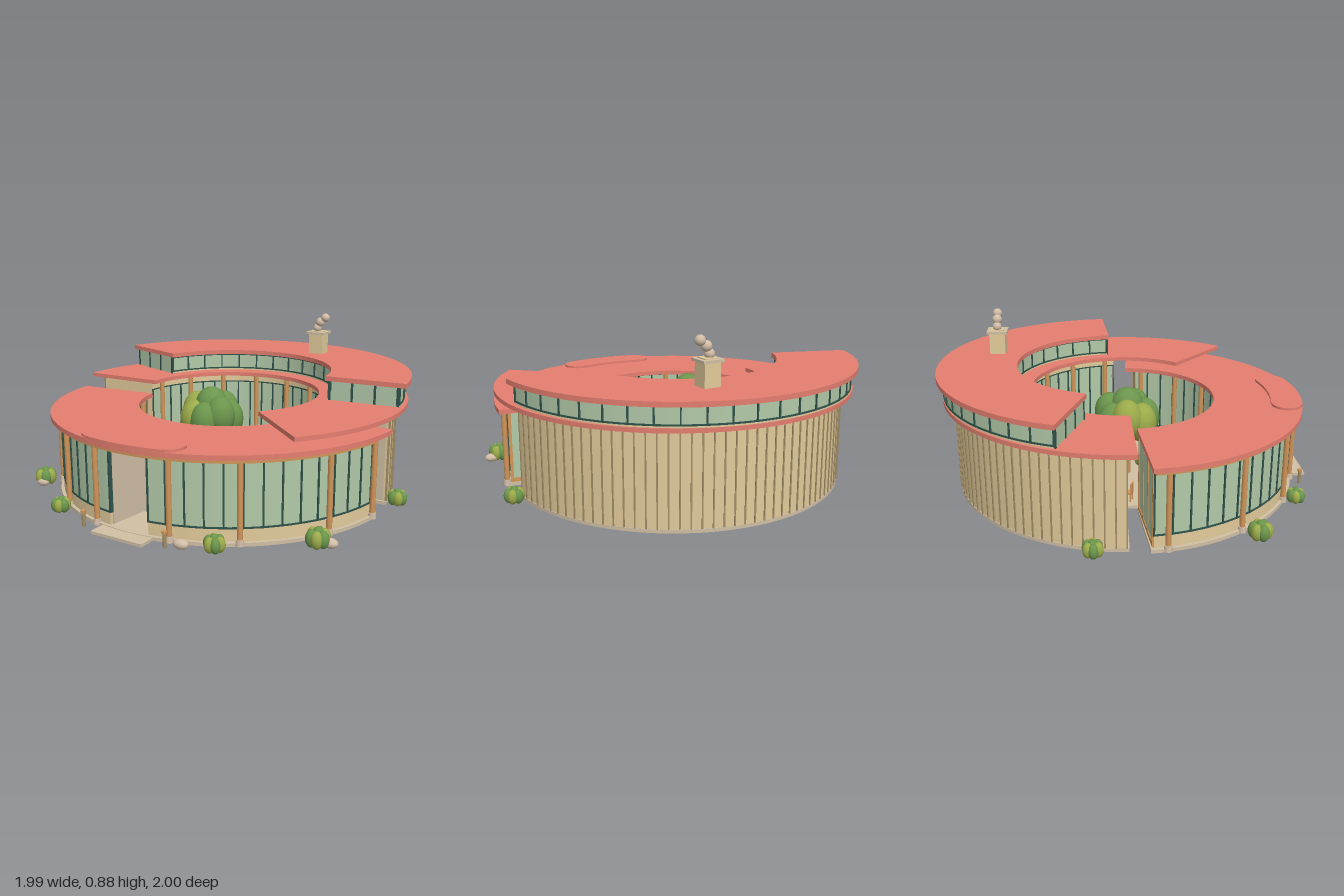
import * as THREE from 'three';

const mat = (name, color) => {
  const m = new THREE.MeshStandardMaterial({ color });
  m.name = name;
  return m;
};

export function createModel() {
  const roofRed = mat('roof red', 0xe47e6f);
  const glass = mat('pale green glass', 0xb2c9a8);
  const frame = mat('dark green frame', 0x2f524a);
  const wood = mat('warm wood', 0xd0965a);
  const board = mat('beige boards', 0xe2cb9b);
  const batten = mat('tan batten', 0xa48f66);
  const paving = mat('paving', 0xd0bfa4);
  const stone = mat('pale stone', 0xd2bda6);
  const leaf = mat('leaf green', 0x6b964c);
  const leafLight = mat('olive leaf', 0x9cab4a);

  const model = new THREE.Group();
  model.name = 'ringHouse';
  const house = new THREE.Group();
  house.name = 'house';
  house.position.set(-0.01, 0, -0.005);
  model.add(house);

  const rad = THREE.MathUtils.degToRad;
  const add = (parent, name, geo, material, x = 0, y = 0, z = 0) => {
    const m = new THREE.Mesh(geo, material);
    m.name = name;
    m.position.set(x, y, z);
    parent.add(m);
    return m;
  };
  // Angles are in degrees, from the front (+z) towards +x
  const polar = (a, r) => [r * Math.sin(rad(a)), r * Math.cos(rad(a))];

  // Curved slab between two radii, two heights and two angles
  const arc = (name, material, r0, r1, y0, y1, a0, a1, parent = house) => {
    const n = Math.max(1, Math.ceil((a1 - a0) / 2.5));
    const outer = [], inner = [];
    for (let i = 0; i <= n; i++) {
      const a = a0 + ((a1 - a0) * i) / n;
      const [ox, oz] = polar(a, r1), [ix, iz] = polar(a, r0);
      outer.push(new THREE.Vector2(ox, -oz));
      inner.unshift(new THREE.Vector2(ix, -iz));
    }
    const geo = new THREE.ExtrudeGeometry(new THREE.Shape([...outer, ...inner]), { depth: y1 - y0, bevelEnabled: false });
    return add(parent, name, geo.rotateX(-Math.PI / 2), material, 0, y0, 0);
  };
  // Upright strip standing on the ring
  const upright = (name, material, a, r, y0, y1, w, d, parent = house) => {
    const [x, z] = polar(a, r);
    add(parent, name, new THREE.BoxGeometry(w, y1 - y0, d), material, x, (y0 + y1) / 2, z).rotation.y = rad(a);
  };
  // Glazed curved wall with sill, rails and mullions
  const glazing = (name, r, y0, y1, a0, a1, sill, step, parent = house) => {
    const g = new THREE.Group();
    g.name = name;
    parent.add(g);
    arc('sill', board, r - 0.008, r + 0.008, y0, y0 + sill, a0, a1, g);
    const b = y0 + sill;
    arc('panes', glass, r - 0.004, r + 0.004, b, y1, a0, a1, g);
    arc('lowerRail', frame, r - 0.009, r + 0.009, b, b + 0.008, a0, a1, g);
    arc('upperRail', frame, r - 0.009, r + 0.009, y1 - 0.008, y1, a0, a1, g);
    const n = Math.round((a1 - a0) / step);
    for (let i = 0; i <= n; i++) upright('mullion', frame, a0 + ((a1 - a0) * i) / n, r, b, y1, 0.008, 0.02, g);
  };
  const post = (a, r, top) => {
    const [x, z] = polar(a, r);
    add(house, 'post', new THREE.CylinderGeometry(0.014, 0.014, top - 0.02, 10), wood, x, top / 2 + 0.01, z);
    add(house, 'postFoot', new THREE.CylinderGeometry(0.018, 0.021, 0.03, 10), stone, x, 0.02, z);
  };

  // Floors: courtyard disc, glazed wing and boarded wing
  add(house, 'courtyard', new THREE.CylinderGeometry(0.5, 0.5, 0.016, 96), paving, 0, 0.012, 0);
  arc('frontFloor', paving, 0.5, 0.93, 0, 0.018, -85, 81);
  arc('backFloor', paving, 0.5, 0.908, 0, 0.018, 93, 269);
  add(model, 'doorStep', new THREE.BoxGeometry(0.295, 0.015, 0.1), paving, -0.012, 0.0075, 0.95);

  // Front glazed wing, split by the entrance passage
  for (const [a0, a1] of [[-84, -7], [7, 80]]) {
    glazing('outerGlazing', 0.905, 0.018, 0.395, a0, a1, 0.06, 5.5);
    glazing('innerGlazing', 0.54, 0.018, 0.415, a0, a1, 0.04, 9);
  }
  for (const a of [-7, 7]) upright('passageWall', paving, a, 0.72, 0.018, 0.415, 0.012, 0.35);
  for (const a of [-84, 80]) {
    upright('endGlass', glass, a, 0.72, 0.018, 0.415, 0.008, 0.37);
    upright('endSill', wood, a, 0.72, 0.018, 0.04, 0.016, 0.37);
    for (const r of [0.54, 0.66, 0.78, 0.9]) upright('endFrame', wood, a, r, 0.018, 0.415, 0.016, 0.016);
  }
  arc('eavesBeam', wood, 0.895, 0.94, 0.395, 0.416, -84, 80);
  for (const a of [-80, -55, -30, -12, 14, 34, 61, 80]) post(a, 0.926, 0.4);
  for (const a of [-75, -50, -25, 25, 50, 75]) post(a, 0.515, 0.415);

  // Back wing: boarded outside, glazed to the courtyard
  arc('backWall', board, 0.89, 0.905, 0.018, 0.488, 93.8, 268.5);
  for (let i = 0; i <= 54; i++) upright('wallBatten', batten, 94 + (i * 174.3) / 54, 0.905, 0.018, 0.488, 0.007, 0.01);
  glazing('courtyardGlazing', 0.545, 0.018, 0.45, 94, 268, 0.04, 8);
  arc('glazingHead', board, 0.535, 0.555, 0.45, 0.488, 94, 268);
  upright('eastEndWall', paving, 94.2, 0.72, 0.018, 0.488, 0.012, 0.36);
  upright('westEndWall', board, 268, 0.72, 0.018, 0.488, 0.012, 0.36);
  for (let a = 100; a < 268; a += 23) post(a, 0.52, 0.488);

  // Stepped roofs
  arc('lowRoof', roofRed, 0.495, 0.965, 0.416, 0.44, -85, 86);
  arc('middleRoof', roofRed, 0.495, 0.965, 0.488, 0.51, 48, 271);
  const upper = new THREE.Group();
  upper.name = 'upperStorey';
  upper.position.z = -0.025;
  house.add(upper);
  arc('highRoof', roofRed, 0.546, 0.97, 0.61, 0.635, 94, 251, upper);
  glazing('outerClerestory', 0.93, 0.51, 0.61, 95, 250, 0.008, 7, upper);
  glazing('innerClerestory', 0.57, 0.51, 0.61, 95, 250, 0.008, 11, upper);
  for (const a of [95, 250]) {
    upright('clerestoryEnd', glass, a, 0.75, 0.51, 0.61, 0.008, 0.36, upper);
    for (const r of [0.57, 0.69, 0.81, 0.93]) upright('clerestoryEndMullion', frame, a, r, 0.51, 0.61, 0.014, 0.012, upper);
  }

  // Entrance canopy with rounded corners
  arc('entranceCanopy', roofRed, 0.8, 0.966, 0.44, 0.453, -13.5, 13.5);
  for (const a of [-13.5, 13.5]) {
    const [x, z] = polar(a, 0.882);
    add(house, 'canopyEnd', new THREE.CylinderGeometry(0.078, 0.078, 0.0125, 32), roofRed, x, 0.4463, z);
  }

  // Chimney and smoke
  add(model, 'chimney', new THREE.BoxGeometry(0.086, 0.14, 0.086), board, 0.208, 0.69, -0.7);
  add(model, 'chimneyCap', new THREE.BoxGeometry(0.112, 0.014, 0.112), paving, 0.208, 0.758, -0.7);
  add(model, 'chimneyFlue', new THREE.BoxGeometry(0.07, 0.006, 0.07), board, 0.208, 0.767, -0.7);
  for (const [x, y, r] of [[0.2, 0.785, 0.025], [0.217, 0.822, 0.027], [0.25, 0.85, 0.026]])
    add(model, 'smokePuff', new THREE.SphereGeometry(r, 16, 12), stone, x, y, -0.7);

  // Courtyard tree: forked trunk and lobed crown
  const blob = (parent, name, m, x, y, z, sx, sy, sz) =>
    add(parent, name, new THREE.SphereGeometry(1, 14, 10), m, x, y, z).scale.set(sx, sy, sz);
  const tree = new THREE.Group();
  tree.name = 'tree';
  tree.position.set(-0.115, 0.02, 0.01);
  model.add(tree);
  const limb = (...pts) => add(tree, 'trunk', new THREE.TubeGeometry(
    new THREE.CatmullRomCurve3(pts.map(p => new THREE.Vector3(...p))), 8, 0.011, 7), wood);
  for (let i = 0; i < 3; i++) {
    const [x, z] = polar(i * 120 + 20, 0.07);
    limb([x * 0.15, 0, z * 0.15], [x * 0.2, 0.1, z * 0.2], [x, 0.27, z]);
  }
  for (let i = 0; i < 7; i++) {
    const [x, z] = polar(i * 51.4 + 10, 0.097);
    blob(tree, 'crownLobe', i > 4 ? leafLight : leaf, x, 0.325 + (i % 2) * 0.03, z, 0.083, 0.108, 0.083);
  }
  blob(tree, 'crownTop', leaf, 0, 0.4, 0, 0.09, 0.1, 0.09);

  // Round lobed bushes and rocks
  const bush = (x, y, z, r) => {
    const g = new THREE.Group();
    g.name = 'bush';
    g.position.set(x, y, z);
    model.add(g);
    for (let i = 0; i < 6; i++) {
      const [bx, bz] = polar(i * 60 + x * 90, r * 0.55);
      blob(g, 'bushLobe', i % 2 ? leafLight : leaf, bx, r * 0.8, bz, r * 0.5, r * 0.75, r * 0.5);
    }
    blob(g, 'bushTop', leaf, 0, r, 0, r * 0.5, r * 0.75, r * 0.5);
  };
  for (const [x, z, r] of [[-0.945, -0.19, 0.05], [0.945, -0.09, 0.05], [-0.83, 0.6, 0.057],
    [0.81, 0.59, 0.057], [-0.47, 0.865, 0.047], [0.44, 0.87, 0.05]]) bush(x, 0, z, r);
  bush(0.35, 0.02, -0.12, 0.048);
  bush(-0.02, 0.02, 0.1, 0.04);
  for (const [x, z] of [[-0.82, 0.635], [0.295, 0.92], [0.86, 0.57]])
    blob(model, 'rock', stone, x, 0.024, z, 0.04, 0.024, 0.027);

  // Courtyard table, cups and chairs
  const [tx, tz] = [-0.41, -0.095];
  add(model, 'tableTop', new THREE.CylinderGeometry(0.078, 0.078, 0.012, 28), wood, tx, 0.105, tz);
  add(model, 'tableLeg', new THREE.CylinderGeometry(0.012, 0.02, 0.08, 10), wood, tx, 0.06, tz);
  for (let i = 0; i < 4; i++) {
    const [x, z] = polar(i * 90 + 20, 0.045);
    add(model, 'cup', new THREE.CylinderGeometry(0.013, 0.011, 0.016, 10), stone, tx + x, 0.119, tz + z);
  }
  for (const a of [99, 210, 339]) {
    const [x, z] = polar(a, 0.1), s = new THREE.Group();
    s.name = 'chair';
    s.position.set(tx + x, 0.02, tz + z);
    s.rotation.y = rad(a);
    model.add(s);
    add(s, 'seat', new THREE.BoxGeometry(0.042, 0.01, 0.042), wood, 0, 0.045, 0);
    add(s, 'backrest', new THREE.BoxGeometry(0.042, 0.05, 0.006), wood, 0, 0.075, 0.02);
    for (const i of [-1, 1]) for (const j of [-1, 1])
      add(s, 'chairLeg', new THREE.BoxGeometry(0.006, 0.042, 0.006), wood, i * 0.017, 0.021, j * 0.017);
  }

  // Curved courtyard bench
  const bench = new THREE.Group();
  bench.name = 'curvedBench';
  bench.position.set(0.12, 0, -0.04);
  model.add(bench);
  arc('benchBack', wood, 0.138, 0.153, 0.02, 0.09, 90, 240, bench);
  arc('benchSeat', paving, 0.092, 0.138, 0.02, 0.055, 90, 240, bench);

  // Shelves against the courtyard glazing
  for (const y of [0.09, 0.15, 0.21, 0.27]) arc('shelf', wood, 0.488, 0.53, y, y + 0.01, 125, 178);
  for (const a of [125, 138, 151, 164, 178]) upright('shelfSide', wood, a, 0.509, 0.02, 0.28, 0.01, 0.042);

  // Bollards beside the step
  for (const x of [-0.25, 0.225]) {
    add(model, 'bollard', new THREE.CylinderGeometry(0.009, 0.009, 0.07, 8), batten, x, 0.035, 0.945);
    add(model, 'bollardCap', new THREE.CylinderGeometry(0.013, 0.013, 0.012, 8), wood, x, 0.075, 0.945);
  }
  return model;
}
